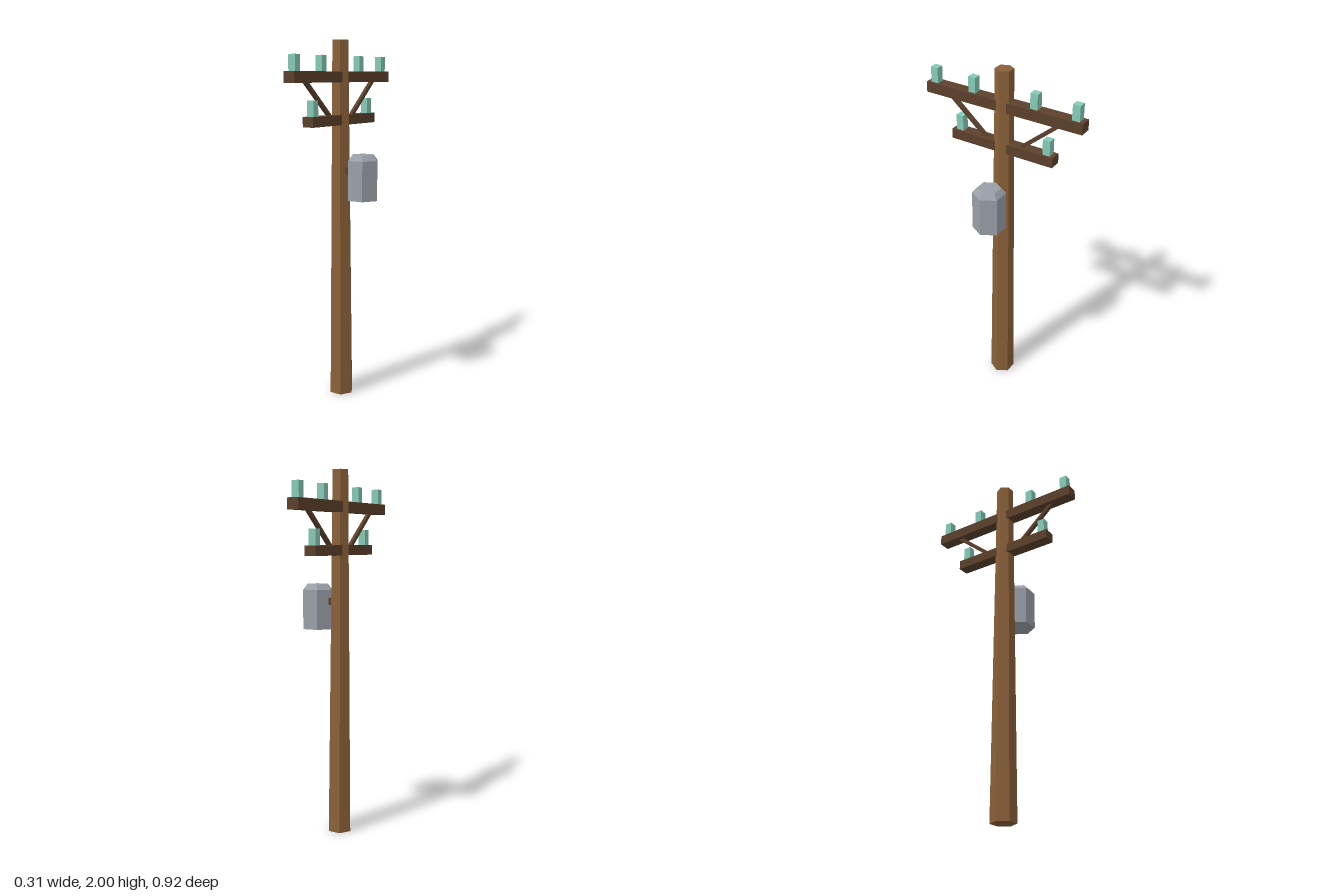
import * as THREE from 'three';

const material = (name, color) => {
  const m = new THREE.MeshStandardMaterial({ color, flatShading: true });
  m.name = name;
  return m;
};

export function createModel() {
  const wood = material('pole wood', 0x8a6039);
  const darkWood = material('dark wood', 0x5c402c);
  const glass = material('green glass', 0x86cab8);
  const steel = material('grey steel', 0x9a9fa8);

  const model = new THREE.Group();
  model.name = 'utilityPole';
  const poleX = -0.084;

  const add = (name, geometry, mat, x, y, z) => {
    const mesh = new THREE.Mesh(geometry, mat);
    mesh.name = name;
    mesh.position.set(x, y, z);
    model.add(mesh);
    return mesh;
  };
  // Six-sided prism with corners pointing along x
  const hexPrism = (top, bottom, height, open = false) =>
    new THREE.CylinderGeometry(top, bottom, height, 6, 1, open).rotateY(Math.PI / 6);

  // Tapered pole
  add('pole', hexPrism(0.048, 0.07, 2), wood, poleX, 1, 0);

  // Crossarms, each with its mirrored insulators
  const arms = [
    { name: 'upper', length: 0.92, bottom: 1.775, top: 1.833, insulators: [0.183, 0.416] },
    { name: 'lower', length: 0.61, bottom: 1.546, top: 1.6, insulators: [0.262] },
  ];
  for (const arm of arms) {
    const height = arm.top - arm.bottom;
    add(arm.name + 'Crossarm', new THREE.BoxGeometry(0.066, height, arm.length),
      darkWood, poleX, arm.bottom + height / 2, 0);
    for (const z of arm.insulators) {
      for (const side of [-1, 1]) {
        add(arm.name + 'Insulator', new THREE.BoxGeometry(0.042, 0.084, 0.042),
          glass, poleX, arm.top + 0.042, side * z);
      }
    }
  }

  // Diagonal braces between the crossarms
  const low = { z: 0.055, y: 1.55 }, high = { z: 0.345, y: 1.797 };
  const dz = high.z - low.z, dy = high.y - low.y;
  for (const side of [-1, 1]) {
    const brace = add('brace', new THREE.BoxGeometry(0.02, 0.02, Math.hypot(dz, dy)),
      darkWood, poleX, (low.y + high.y) / 2, side * (low.z + high.z) / 2);
    brace.rotation.x = -side * Math.atan2(dy, dz);
  }

  // Transformer can, its bevelled lid and the bracket to the pole
  add('transformerBody', hexPrism(0.09, 0.09, 0.218), steel, 0.061, 1.249, 0);
  add('transformerLid', hexPrism(0.064, 0.09, 0.03), steel, 0.061, 1.373, 0);
  add('transformerBracket', new THREE.BoxGeometry(0.06, 0.04, 0.04), darkWood, -0.052, 1.294, 0);

  return model;
}
